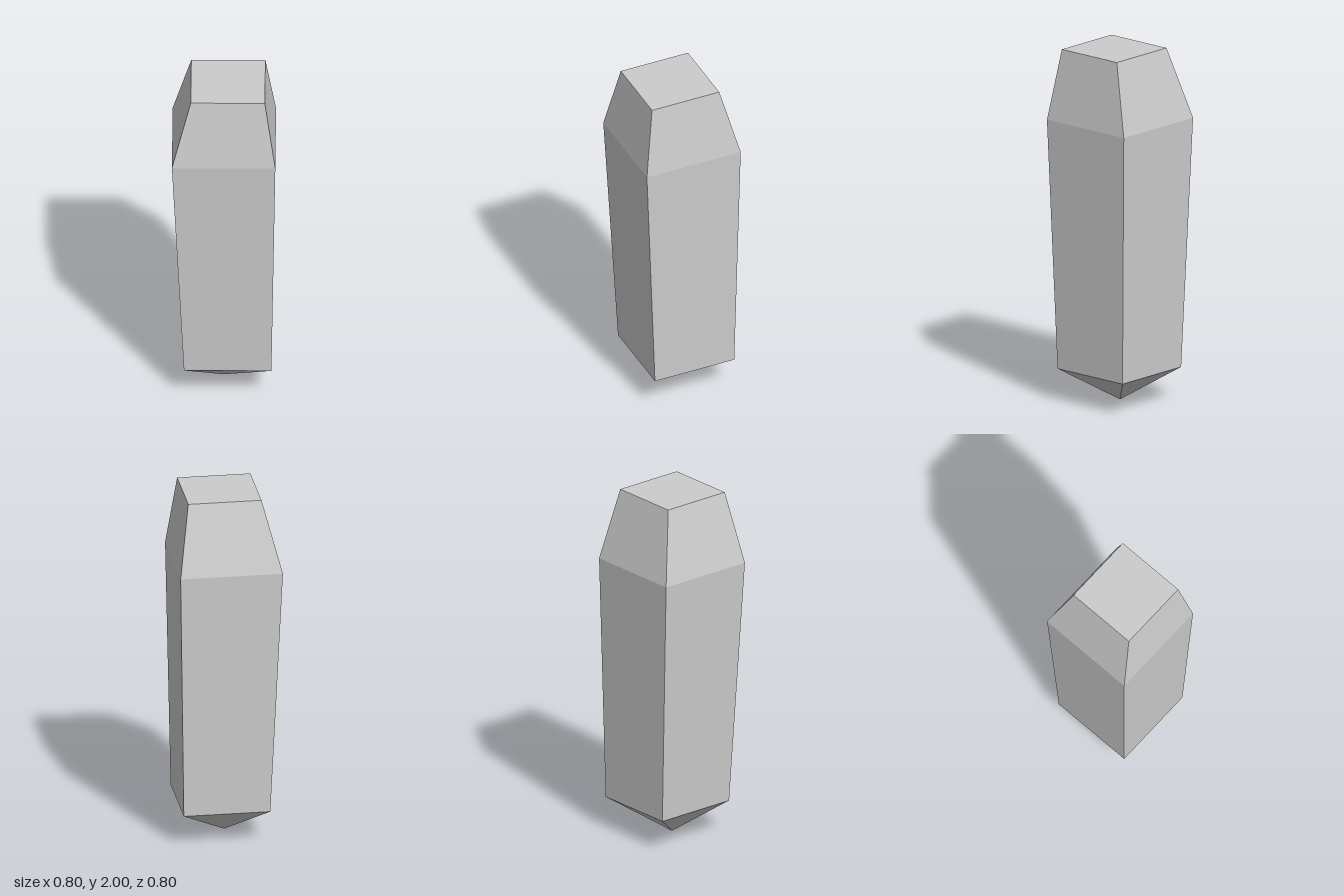
import * as THREE from 'three';

// Square cross-sections, from the tip upwards: height, radius and centre offset
const rings = [
  { y: 0, r: 0, x: 0, z: 0 },
  { y: 0.187, r: 0.34, x: 0.026, z: 0.005 },
  { y: 1.6, r: 0.402, x: 0, z: 0 },
  { y: 2, r: 0.288, x: 0, z: 0.032 },
];
const names = ['bottomPoint', 'shaft', 'topTaper'];

// Four-sided section between two rings, each ring shifted to its own centre
function section(low, high) {
  const geometry = new THREE.CylinderGeometry(high.r, low.r, high.y - low.y, 4, 1, true);
  const pos = geometry.attributes.position;
  for (let i = 0; i < pos.count; i++) {
    const ring = pos.getY(i) > 0 ? high : low;
    pos.setXYZ(i, pos.getX(i) + ring.x, ring.y, pos.getZ(i) + ring.z);
  }
  const flat = geometry.toNonIndexed();
  flat.computeVertexNormals();
  return flat;
}

export function createModel() {
  const group = new THREE.Group();
  group.name = 'crystal';
  const material = new THREE.MeshStandardMaterial({ color: 0xcccccc, flatShading: true });

  names.forEach((name, i) => {
    const mesh = new THREE.Mesh(section(rings[i], rings[i + 1]), material);
    mesh.name = name;
    group.add(mesh);
  });

  // Flat top face
  const top = rings[rings.length - 1];
  const cap = new THREE.Mesh(new THREE.CircleGeometry(top.r, 4).rotateX(-Math.PI / 2), material);
  cap.position.set(top.x, top.y, top.z);
  cap.name = 'topFace';
  group.add(cap);

  return group;
}
